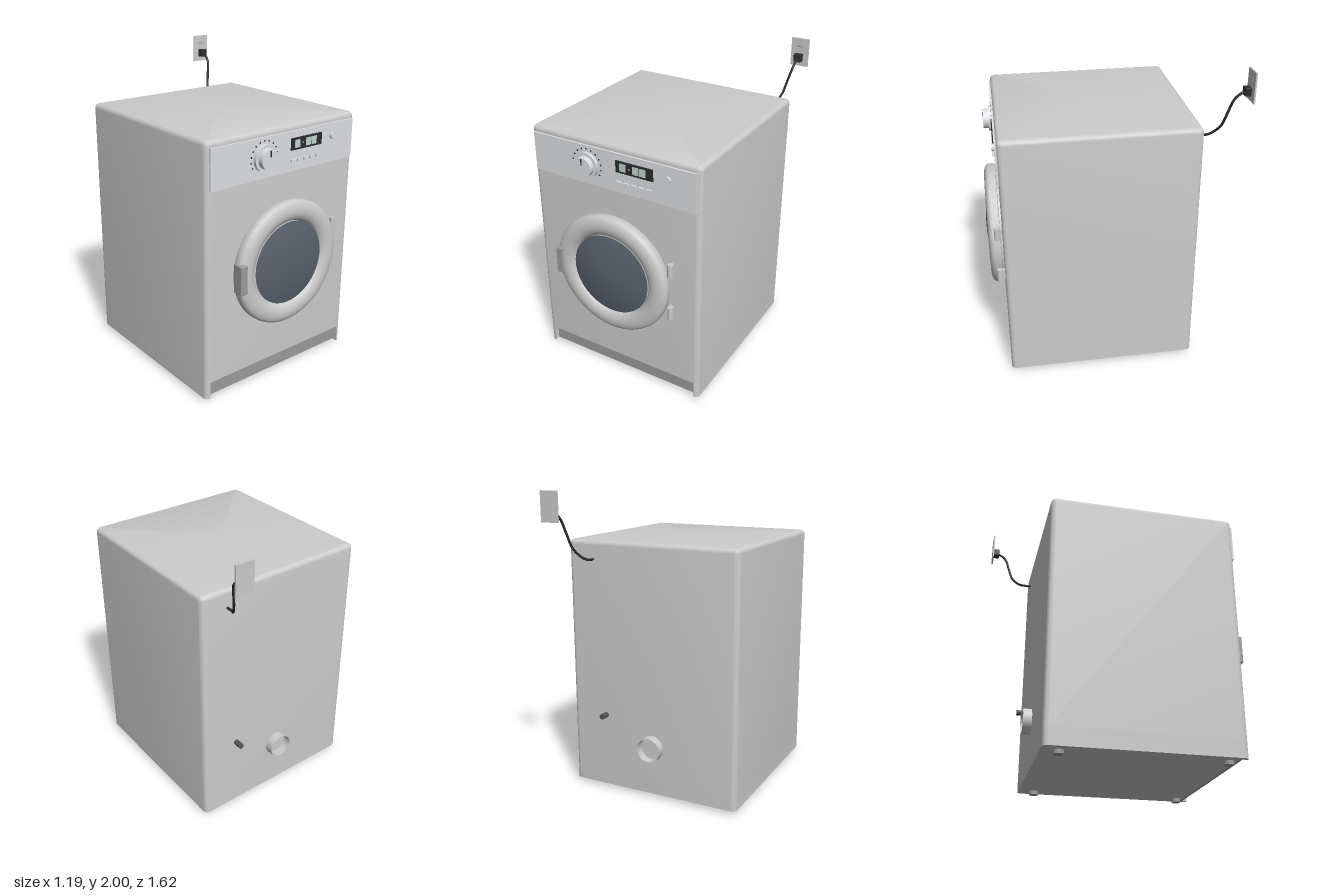
import * as THREE from 'three';
import { toCreasedNormals } from 'three/addons/utils/BufferGeometryUtils.js';
import { RoundedBoxGeometry } from 'three/addons/geometries/RoundedBoxGeometry.js';

const material = (color, extra = {}) => new THREE.MeshStandardMaterial({ color, ...extra });
const grey = material(0xcccccc);
const open = material(0xcccccc, { side: THREE.DoubleSide });
const panelGrey = material(0xdde0e3);
const midGrey = material(0x9c9c9c);
const white = material(0xf2f2f4);
const black = material(0x2b2d30);
const glassDark = material(0x59626d);
const digitGreen = material(0xc3d6cf);

const HALF_W = 0.595, BACK = -0.515, FRONT = 0.71, CORNER = 0.032;
const PANEL_Z = 0.722;

// Rounded rectangle in plan, anticlockwise from above, starting and ending on the front edge
function outline(inset) {
  const pts = [], cx = HALF_W - CORNER, r = CORNER - inset;
  const corners = [[cx, FRONT - CORNER], [cx, BACK + CORNER], [-cx, BACK + CORNER], [-cx, FRONT - CORNER]];
  corners.forEach(([x, z], k) => {
    for (let i = 0; i <= 6; i++) {
      const a = (k + i / 6) * Math.PI / 2;
      pts.push([x + r * Math.sin(a), z + r * Math.cos(a)]);
    }
  });
  return pts;
}

// Cabinet shell: stacked outlines that draw in over the top edge
function cabinetGeometry(bottom, top) {
  const levels = [[0, bottom]], r = 0.03, pos = [], index = [];
  for (let i = 0; i <= 6; i++) {
    const a = i / 6 * Math.PI / 2;
    levels.push([r * (1 - Math.cos(a)), top - r + r * Math.sin(a)]);
  }
  const loops = levels.map(([inset, y]) => outline(inset).map(([x, z]) => [x, y, z]));
  const n = loops[0].length;
  loops.forEach(loop => loop.forEach(p => pos.push(...p)));
  const low = pos.length / 3, high = low + 1, last = (loops.length - 1) * n;
  pos.push(0, bottom, 0.1, 0, top, 0.1);
  for (let i = 0; i < n; i++) {
    const j = (i + 1) % n;
    for (let l = 0; l < loops.length - 1; l++) {
      const a = l * n + i, b = l * n + j;
      index.push(a, b, b + n, a, b + n, a + n);
    }
    index.push(low, j, i, high, last + i, last + j);
  }
  const g = new THREE.BufferGeometry();
  g.setAttribute('position', new THREE.Float32BufferAttribute(pos, 3));
  g.setIndex(index);
  return toCreasedNormals(g, 0.6);
}

// Base of the cabinet with a recess across the front
function skirtGeometry(bottom, top) {
  const x = HALF_W - CORNER, z = FRONT - 0.05;
  const pts = [...outline(0), [-x, z], [x, z]];
  const shape = new THREE.Shape(pts.map(p => new THREE.Vector2(p[0], -p[1])));
  const g = new THREE.ExtrudeGeometry(shape, { depth: top - bottom, bevelEnabled: false });
  g.rotateX(-Math.PI / 2).translate(0, bottom, 0);
  return toCreasedNormals(g, 0.6);
}

export function createModel() {
  const model = new THREE.Group();
  model.name = 'washingMachine';

  const add = (name, geometry, mat, x = 0, y = 0, z = 0, parent = model) => {
    const mesh = new THREE.Mesh(geometry, mat);
    mesh.name = name;
    mesh.position.set(x, y, z);
    parent.add(mesh);
    return mesh;
  };
  const group = name => {
    const g = new THREE.Group();
    g.name = name;
    model.add(g);
    return g;
  };
  const box = (w, h, d) => new THREE.BoxGeometry(w, h, d);
  // Cylinder lying along z
  const disc = (r, d, sides = 32, openEnded = false) =>
    new THREE.CylinderGeometry(r, r, d, sides, 1, openEnded).rotateX(Math.PI / 2);
  // Profile of [radius, depth] pairs turned around the z axis
  const turned = pts => toCreasedNormals(
    new THREE.LatheGeometry(pts.map(p => new THREE.Vector2(...p)), 64).rotateX(Math.PI / 2), 0.7);

  // Cabinet, kick plate and feet
  add('cabinet', cabinetGeometry(0.14, 1.68), grey);
  add('cabinetBase', skirtGeometry(0.025, 0.14), grey);
  add('kickPlate', box(1.126, 0.115, 0.015), midGrey, 0, 0.0825, 0.667);
  for (const x of [-0.51, 0.51]) for (const z of [-0.41, 0.61])
    add('foot', new THREE.CylinderGeometry(0.031, 0.031, 0.03, 24), midGrey, x, 0.015, z);

  // Control panel
  const controls = group('controlPanel');
  add('panel', box(1.14, 0.25, 0.022), panelGrey, 0, 1.515, 0.711, controls);

  // Dial with pointer and surrounding marks
  const dialX = -0.175, dialY = 1.517;
  add('dialBase', disc(0.083, 0.02, 48), panelGrey, dialX, dialY, PANEL_Z + 0.01, controls);
  add('dialKnob', disc(0.064, 0.056, 48), panelGrey, dialX, dialY, PANEL_Z + 0.028, controls);
  add('dialPointer', box(0.007, 0.04, 0.004), black, dialX, dialY + 0.036, 0.779, controls);
  for (let i = 0; i < 13; i++) {
    const a = (i / 12 - 0.5) * Math.PI * 1.33;
    add('dialMark', disc(0.005, 0.004, 10), black,
      dialX + 0.102 * Math.sin(a), dialY + 0.102 * Math.cos(a), PANEL_Z + 0.001, controls);
  }

  // Display with digit blocks, buttons below and a round power button
  add('display', box(0.255, 0.075, 0.008), black, 0.1625, 1.56, PANEL_Z + 0.003, controls);
  for (const x of [0.085, 0.175, 0.222])
    add('displayDigit', box(0.043, 0.05, 0.004), digitGreen, x, 1.56, PANEL_Z + 0.007, controls);
  add('displayDot', disc(0.005, 0.004, 10), digitGreen, 0.13, 1.56, PANEL_Z + 0.007, controls);
  for (let i = 0; i < 5; i++)
    add('button', box(0.037, 0.018, 0.014), panelGrey, 0.056 + i * 0.052, 1.456, PANEL_Z + 0.005, controls);
  add('powerButton', disc(0.022, 0.018), panelGrey, 0.388, 1.56, PANEL_Z + 0.006, controls);

  // Door: bulging ring, domed glass, handle and hinges
  const door = group('door');
  add('doorRing', turned([[0.385, -0.71], [0.385, -0.722], [0.4, -0.724], [0.405, -0.732], [0.405, -0.765],
    [0.4, -0.779], [0.388, -0.789], [0.365, -0.797], [0.34, -0.8], [0.315, -0.797], [0.292, -0.788],
    [0.278, -0.775], [0.268, -0.755]].map(([r, z]) => [r, -z])), material(0xf2f2f4, { side: THREE.DoubleSide }),
    0, 0.82, 0, door);
  const dome = [];
  for (let i = 0; i <= 10; i++) dome.push([0.272 * (1 - i / 10), 0.778 + 0.032 * (1 - (1 - i / 10) ** 2)]);
  add('doorGlass', turned(dome), material(0x59626d, { side: THREE.DoubleSide }), 0, 0.82, 0, door);
  add('doorHandle', new RoundedBoxGeometry(0.05, 0.19, 0.075, 3, 0.008), midGrey, -0.38, 0.815, 0.768, door);
  for (const y of [0.97, 0.66]) {
    add('hingePin', new THREE.CylinderGeometry(0.018, 0.018, 0.086, 20), white, 0.412, y, 0.743, door);
    add('hingePlate', box(0.03, 0.07, 0.03), grey, 0.405, y, 0.718, door);
  }

  // Rear fittings
  add('ventPipe', disc(0.083, 0.06, 40, true), open, 0, 0.348, -0.542);
  add('ventPipeLining', disc(0.077, 0.06, 40, true), open, 0, 0.348, -0.542);
  add('ventRim', new THREE.RingGeometry(0.077, 0.083, 40), open, 0, 0.348, -0.572);
  add('waterInlet', disc(0.018, 0.06, 20), material(0x555555), 0.343, 0.523, -0.542);

  // Power cord, plug and wall socket
  const path = new THREE.CatmullRomCurve3([
    [0.413, 1.56, -0.505], [0.413, 1.56, -0.56], [0.433, 1.575, -0.595], [0.47, 1.64, -0.65],
    [0.492, 1.73, -0.678], [0.513, 1.82, -0.705], [0.518, 1.86, -0.745], [0.518, 1.87, -0.78],
  ].map(p => new THREE.Vector3(...p)));
  add('powerCord', new THREE.TubeGeometry(path, 60, 0.008, 12), black);
  add('plug', new RoundedBoxGeometry(0.054, 0.054, 0.04, 2, 0.006), black, 0.518, 1.872, -0.778);
  const socket = group('wallSocket');
  add('socketPlate', box(0.125, 0.19, 0.01), grey, 0.518, 1.905, -0.805, socket);
  add('socketSlot', box(0.045, 0.008, 0.006), midGrey, 0.518, 1.945, -0.799, socket);

  return model;
}
